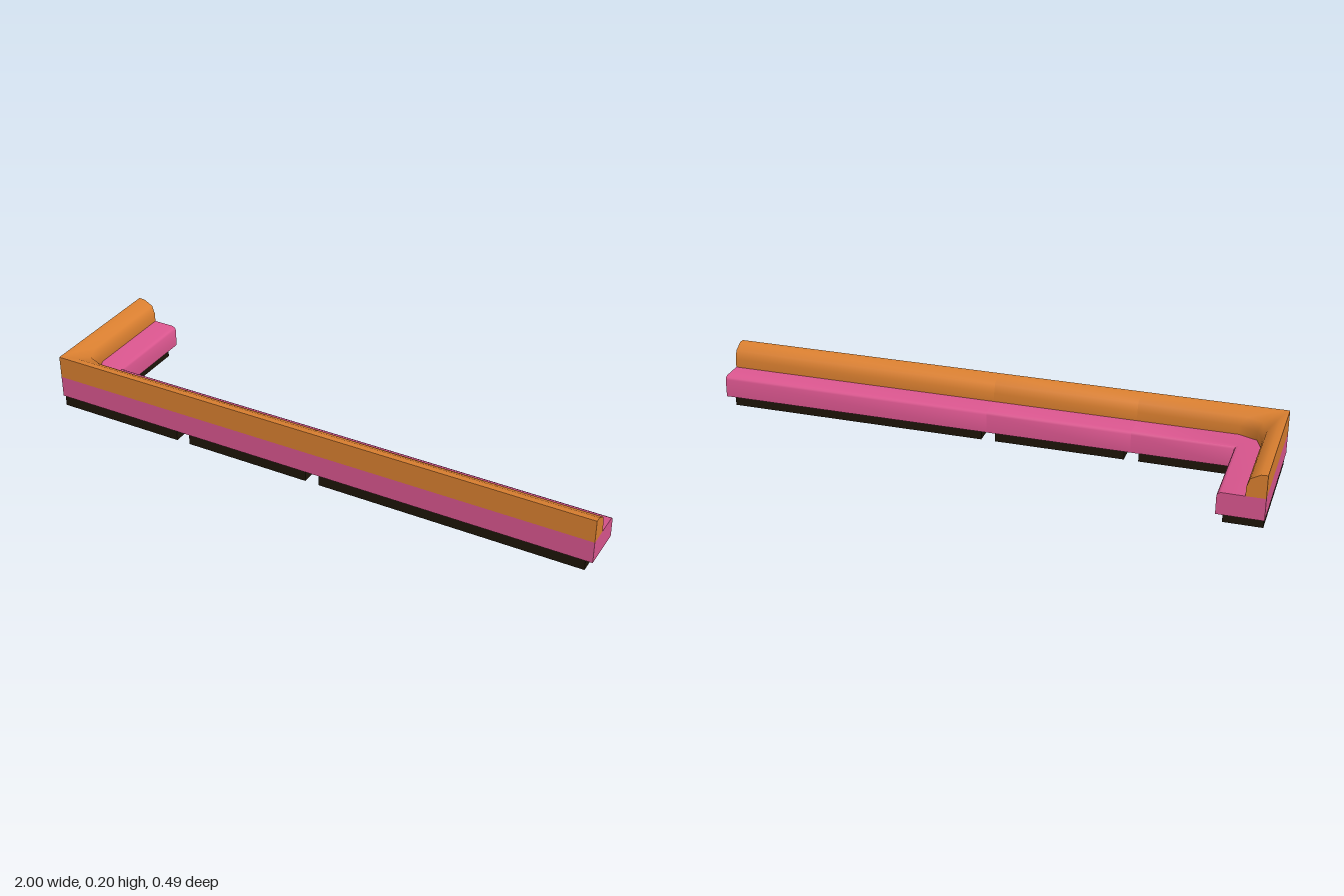
import * as THREE from 'three';
import { toCreasedNormals } from 'three/addons/utils/BufferGeometryUtils.js';

const BACK = 0.245, SIDE = -1; // outer faces of the L

// Stations map a depth d (distance in from the outer face) to a plan position [x, z]
const onRun = (x) => (d) => [x, BACK - d];
const onArm = (z) => (d) => [SIDE + d, z];
const mitre = (a, b) => (d) => [SIDE + a * d, BACK - b * d];

// Sweep a convex profile of [depth, height] points through the stations
function sweep(profile, stations) {
  const rings = stations.map((s) => profile.map(([d, y]) => {
    const [x, z] = s(d);
    return new THREE.Vector3(x, y, z);
  }));
  const pos = [];
  const tri = (a, b, c) => {
    const n = b.clone().sub(a).cross(c.clone().sub(a));
    if (n.length() > 1e-9) [a, b, c].forEach((v) => pos.push(v.x, v.y, v.z));
  };
  const n = profile.length;
  for (let s = 0; s < rings.length - 1; s++) {
    for (let i = 0; i < n; i++) {
      const j = (i + 1) % n;
      tri(rings[s][i], rings[s][j], rings[s + 1][j]);
      tri(rings[s][i], rings[s + 1][j], rings[s + 1][i]);
    }
  }
  // end caps
  const first = rings[0], last = rings[rings.length - 1];
  for (let i = 1; i < n - 1; i++) {
    tri(first[0], first[i + 1], first[i]);
    tri(last[0], last[i], last[i + 1]);
  }
  const g = new THREE.BufferGeometry();
  g.setAttribute('position', new THREE.Float32BufferAttribute(pos, 3));
  return toCreasedNormals(g, 1.0);
}

export function createModel() {
  const backMat = new THREE.MeshStandardMaterial({ color: 0xdb8030 });
  backMat.name = 'orange fabric';
  const seatMat = new THREE.MeshStandardMaterial({ color: 0xdb568f });
  seatMat.name = 'pink fabric';
  const baseMat = new THREE.MeshStandardMaterial({ color: 0x1e1508 });
  baseMat.name = 'dark plinth';

  const seatProfile = [[0, 0.04], [0.155, 0.04], [0.155, 0.106], [0.151, 0.113], [0.142, 0.118], [0, 0.118]];
  const backProfile = [[0, 0.118], [0.065, 0.118], [0.065, 0.15], [0.055, 0.18], [0.022, 0.198], [0, 0.199]];
  const baseProfile = [[0.005, 0], [0.135, 0], [0.135, 0.04], [0.005, 0.04]];

  const model = new THREE.Group();
  model.name = 'cornerBench';
  const addModule = (name, seat, back, base) => {
    const group = new THREE.Group();
    group.name = name;
    [['seat', seatProfile, seat, seatMat], ['backrest', backProfile, back, backMat], ['plinth', baseProfile, base, baseMat]]
      .forEach(([part, profile, stations, mat]) => {
        const mesh = new THREE.Mesh(sweep(profile, stations), mat);
        mesh.name = part;
        group.add(mesh);
      });
    model.add(group);
  };

  // Corner module: seat and plinth have a sharp mitre, the backrest a faceted inner corner
  addModule('cornerModule',
    [onArm(-0.245), mitre(1, 1), onRun(-0.497)],
    [onArm(-0.245), mitre(1, 2.4), mitre(1.4, 1.4), mitre(2.4, 1), onRun(-0.497)],
    [onArm(-0.218), mitre(1, 1), onRun(-0.522)]);

  // Straight modules: [name, start, end, plinth start, plinth end]
  [['middleModule', -0.497, 0.012, -0.472, -0.013], ['endModule', 0.012, 1, 0.037, 0.975]]
    .forEach(([name, x0, x1, p0, p1]) => {
      const run = [onRun(x0), onRun(x1)];
      addModule(name, run, run, [onRun(p0), onRun(p1)]);
    });
  return model;
}
